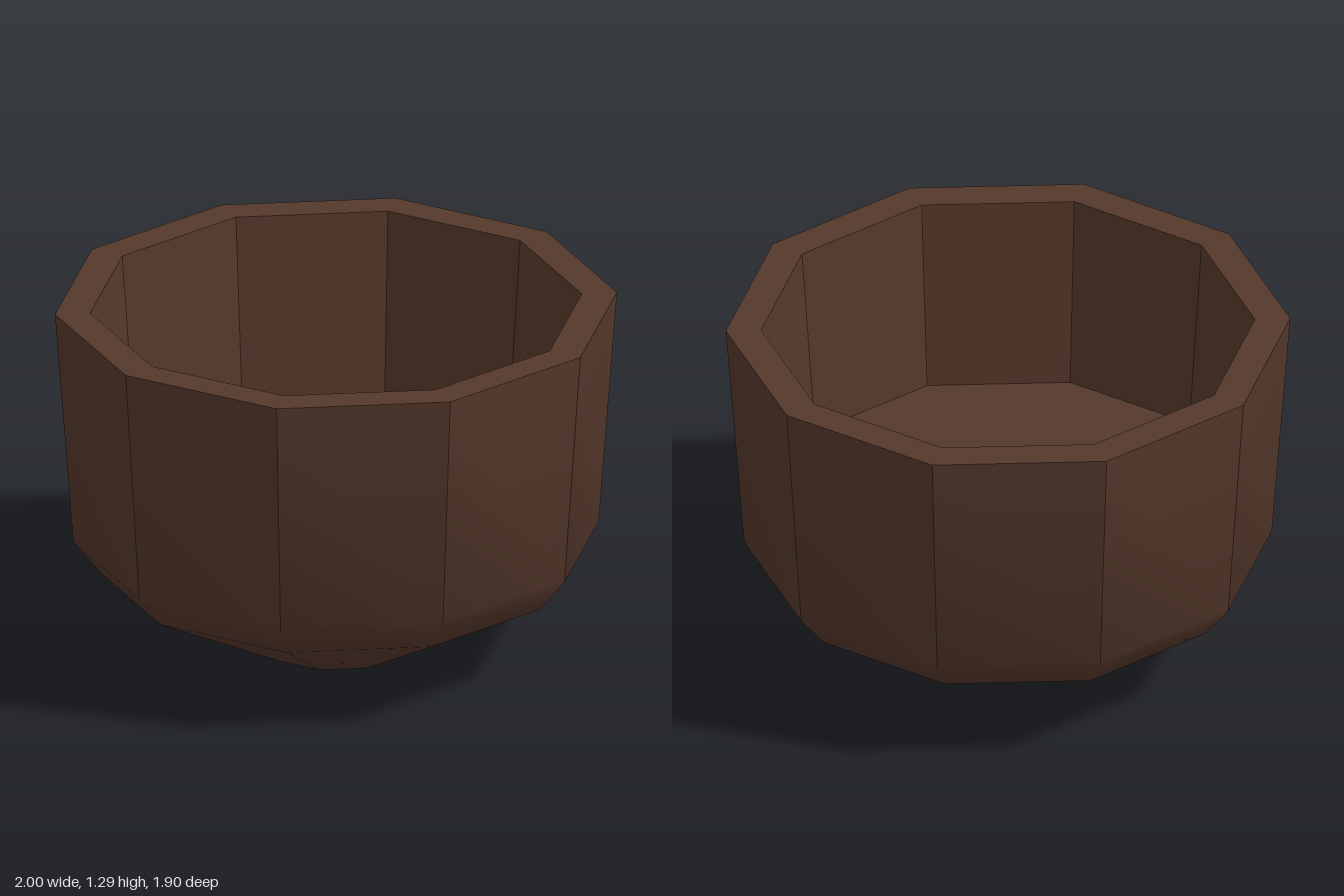
import * as THREE from 'three';
import { toCreasedNormals } from 'three/addons/utils/BufferGeometryUtils.js';

export function createModel() {
  const group = new THREE.Group();
  group.name = 'bowl';

  const brown = new THREE.MeshStandardMaterial({ color: 0x55382b });
  brown.name = 'dark brown';

  // Ten-sided shell: underside, chamfer, outer wall, rim, inner wall, floor
  const profile = [
    [0, 0], [0.27, 0], [0.835, 0.295], [0.935, 0.42], [1, 1.295],
    [0.875, 1.295], [0.82, 0.58], [0, 0.58],
  ].map(([r, y]) => new THREE.Vector2(r, y));

  // Start at +x so corners point along the x axis
  const lathe = new THREE.LatheGeometry(profile, 10, Math.PI / 2);
  lathe.deleteAttribute('normal');
  lathe.deleteAttribute('uv');

  // Upright corners stay sharp while the underside blends softly
  const shell = new THREE.Mesh(toCreasedNormals(lathe, 0.61), brown);
  shell.name = 'bowlShell';
  group.add(shell);

  return group;
}
